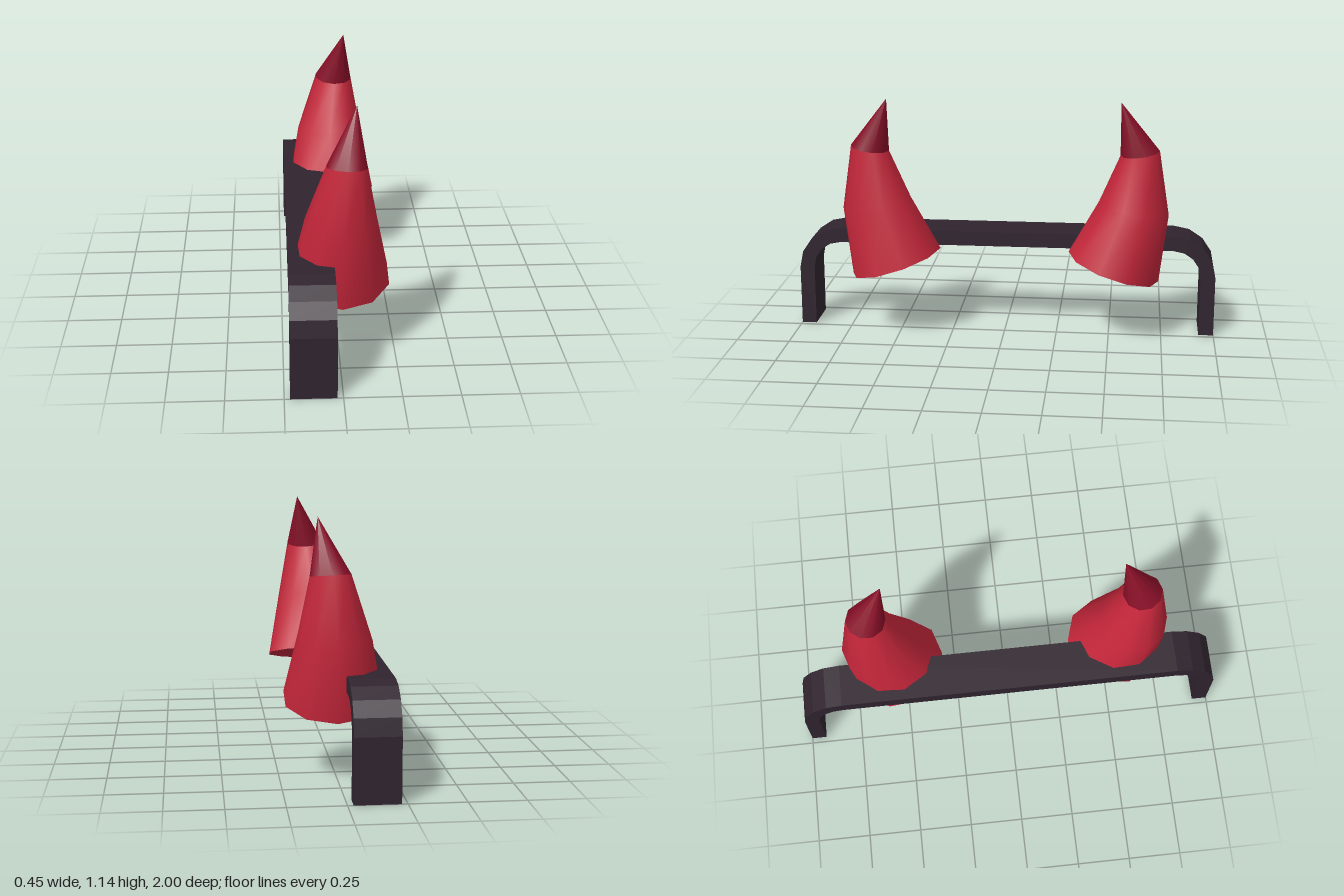
import * as THREE from 'three';

const SIDES = 10;

// Horn rings: centre (x, y, z), radii along x and z, tilt of y along z and x
const BASE = { x: 0.01, y: 0.343, z: 0.518, rx: 0.223, rz: 0.2125, tz: -0.318, tx: 0 };
const MIDDLE = { x: 0.01, y: 0.63, z: 0.6075, rx: 0.164, rz: 0.1625, tz: -0.185, tx: 0 };
const NECK = { x: 0.032, y: 0.898, z: 0.63, rx: 0.091, rz: 0.09, tz: 0.14, tx: -0.04 };
const APEX = { x: 0.078, y: 1.14, z: 0.54, rx: 0, rz: 0, tz: 0, tx: 0 };

// Points of one ring; side = +1 for the front horn, -1 for the back one
function ringPoints(r, side) {
  const points = [];
  for (let i = 0; i < SIDES; i++) {
    const a = (i / SIDES) * Math.PI * 2;
    const dx = side * r.rx * Math.sin(a);
    const dz = r.rz * Math.cos(a);
    points.push(r.x + dx, r.y + r.tz * dz + r.tx * dx, side * (r.z + dz));
  }
  return points;
}

function build(positions, index) {
  const g = new THREE.BufferGeometry();
  g.setAttribute('position', new THREE.Float32BufferAttribute(positions, 3));
  g.setIndex(index);
  g.computeVertexNormals();
  return g;
}

// Smooth skin over a stack of rings
function loft(rings, side) {
  const positions = rings.flatMap((r) => ringPoints(r, side));
  const index = [];
  for (let k = 0; k < rings.length - 1; k++) {
    for (let i = 0; i < SIDES; i++) {
      const j = (i + 1) % SIDES;
      const a = k * SIDES + i, b = k * SIDES + j;
      const c = b + SIDES, d = a + SIDES;
      index.push(a, b, c);
      if (rings[k + 1].rx > 0) index.push(a, c, d);
      else index.splice(-3, 3, a, b, d);
    }
  }
  return build(positions, index);
}

// Flat underside
function underside(r, side) {
  const index = [];
  for (let i = 1; i < SIDES - 1; i++) index.push(0, i + 1, i);
  return build(ringPoints(r, side), index);
}

// Flat strap bent down at both ends
function bandGeometry() {
  const STEPS = 4, cz = 0.8, cy = 0.285;
  const shape = new THREE.Shape();
  const corner = (r, sign, reverse) => {
    for (let i = 0; i <= STEPS; i++) {
      const a = ((reverse ? STEPS - i : i) / STEPS) * Math.PI / 2;
      shape.lineTo(sign * (cz + r * Math.cos(a)), cy + r * Math.sin(a));
    }
  };
  shape.moveTo(1, 0);
  corner(0.2, 1, false);
  corner(0.2, -1, true);
  shape.lineTo(-1, 0);
  shape.lineTo(-0.93, 0);
  corner(0.13, -1, false);
  corner(0.13, 1, true);
  shape.lineTo(0.93, 0);
  shape.closePath();
  const g = new THREE.ExtrudeGeometry(shape, { depth: 0.2, bevelEnabled: false });
  g.rotateY(Math.PI / 2);
  g.translate(-0.225, 0, 0);
  return g;
}

export function createModel() {
  const material = (name, color) => {
    const m = new THREE.MeshStandardMaterial({ color });
    m.name = name;
    return m;
  };
  const red = material('hornRed', 0xc4263a);
  const darkRed = material('tipDarkRed', 0x860f27);
  const dark = material('bandDark', 0x30242f);

  const model = new THREE.Group();
  model.name = 'hornedHeadband';
  const add = (parent, name, geometry, mat) => {
    const mesh = new THREE.Mesh(geometry, mat);
    mesh.name = name;
    parent.add(mesh);
  };

  add(model, 'band', bandGeometry(), dark);

  // Mirrored pair of horns
  for (const side of [1, -1]) {
    const horn = new THREE.Group();
    horn.name = side > 0 ? 'frontHorn' : 'backHorn';
    add(horn, 'hornBody', loft([BASE, MIDDLE, NECK], side), red);
    add(horn, 'hornBase', underside(BASE, side), red);
    add(horn, 'hornTip', loft([NECK, APEX], side), darkRed);
    model.add(horn);
  }
  return model;
}
